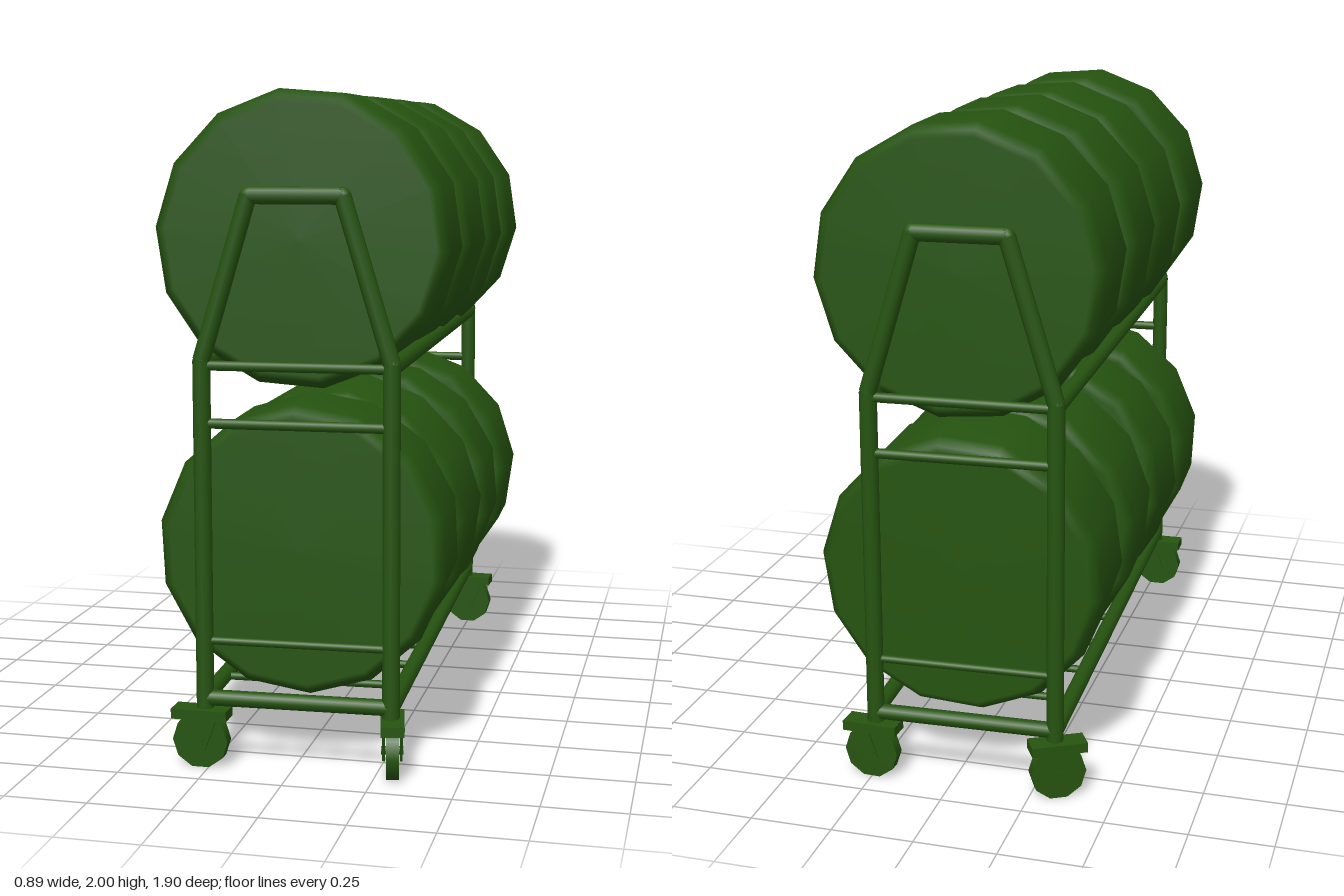
import * as THREE from 'three';

const green = new THREE.MeshStandardMaterial({ color: 0x265410 });

function add(parent, name, geometry) {
  const mesh = new THREE.Mesh(geometry, green);
  mesh.name = name;
  parent.add(mesh);
  return mesh;
}

// Round bar between two points
function bar(parent, name, a, b, r) {
  const p = new THREE.Vector3(...a), q = new THREE.Vector3(...b);
  const dir = q.clone().sub(p);
  const mesh = add(parent, name, new THREE.CylinderGeometry(r, r, dir.length(), 10));
  mesh.position.copy(p).add(q).multiplyScalar(0.5);
  mesh.quaternion.setFromUnitVectors(new THREE.Vector3(0, 1, 0), dir.normalize());
  return mesh;
}

// Swivel caster, rolling along its own z
function caster(parent, name, x, z, yaw) {
  const g = new THREE.Group();
  g.name = name;
  add(g, 'casterPlate', new THREE.BoxGeometry(0.07, 0.03, 0.17)).position.y = 0.165;
  const wheel = add(g, 'casterWheel', new THREE.CylinderGeometry(0.085, 0.085, 0.038, 10));
  wheel.rotation.z = Math.PI / 2;
  wheel.position.y = 0.083;
  for (const s of [-1, 1]) {
    const cheek = add(g, 'casterFork', new THREE.BoxGeometry(0.008, 0.11, 0.045));
    cheek.position.set(s * 0.026, 0.115, 0.015);
    cheek.rotation.x = 0.35;
  }
  const axle = add(g, 'casterAxle', new THREE.CylinderGeometry(0.013, 0.013, 0.066, 8));
  axle.rotation.z = Math.PI / 2;
  axle.position.y = 0.083;
  g.position.set(x, 0, z);
  g.rotation.y = yaw;
  parent.add(g);
}

export function createModel() {
  const model = new THREE.Group();
  model.name = 'wheelRack';

  // Frame, turned slightly
  const frame = new THREE.Group();
  frame.name = 'frame';
  frame.position.set(-0.012, 0, -0.006);
  frame.rotation.y = 0.031;
  model.add(frame);
  const X = 0.28, Z = 0.873, R = 0.026;

  for (const z of [Z, -Z]) {
    // Post, sloping arm, top bar: one bent hoop at each end
    const path = [
      [-X, 0.18, z], [-X, 1.22, z], [-0.137, 1.695, z],
      [0.137, 1.695, z], [X, 1.22, z], [X, 0.18, z],
    ];
    for (let i = 0; i < path.length - 1; i++) bar(frame, 'endHoop', path[i], path[i + 1], R);
    for (let i = 1; i < path.length - 1; i++) {
      add(frame, 'hoopElbow', new THREE.SphereGeometry(R, 10, 8)).position.set(...path[i]);
    }
    // End cross bars
    for (const [y, r] of [[0.21, 0.024], [0.385, 0.012], [1.035, 0.015], [1.205, 0.015]]) {
      bar(frame, 'endCrossBar', [-X, y, z], [X, y, z], r);
    }
  }

  // Long side rails
  for (const x of [-X, X]) {
    for (const y of [0.21, 1.21]) bar(frame, 'sideRail', [x, y, -Z], [x, y, Z], 0.025);
  }

  // Thin rods across the base
  for (let i = 1; i < 8; i++) {
    const z = -Z + (2 * Z * i) / 8;
    bar(frame, 'baseRod', [-X, 0.21, z], [X, 0.21, z], 0.012);
  }

  // Casters, each swivelled differently
  caster(model, 'frontRightCaster', -0.275, 0.882, Math.PI / 2);
  caster(model, 'frontLeftCaster', 0.3, 0.86, 0.2);
  caster(model, 'backRightCaster', -0.328, -0.875, Math.PI / 2 + 0.5);
  caster(model, 'backLeftCaster', 0.25, -0.892, Math.PI / 2 - 0.05);

  // Drums with bevelled rims, lathe axis laid along z
  const profile = [[0, -0.19], [0.4, -0.19], [0.418, -0.182], [0.438, -0.145],
    [0.438, 0.145], [0.418, 0.182], [0.4, 0.19], [0, 0.19]];
  const drum = new THREE.LatheGeometry(profile.map((p) => new THREE.Vector2(...p)), 14);
  drum.rotateX(Math.PI / 2);

  // Each entry: height, z, tilt, yaw, roll
  const drums = [
    [1.565, 0.615, 0, 0.05, 0.148],
    [1.565, 0.17, 0, 0, 0.148],
    [1.565, -0.235, 0, 0.05, 0.148],
    [1.565, -0.645, 0, 0.05, 0.148],
    [0.645, 0.62, 0, 0.05, 0.05],
    [0.645, 0.21, 0.06, 0, -0.14],
    [0.645, -0.22, -0.025, 0.045, 0.09],
    [0.645, -0.643, -0.02, 0.04, -0.14],
  ];
  drums.forEach(([y, z, tilt, yaw, roll], i) => {
    const mesh = add(model, i < 4 ? 'upperTyre' : 'lowerTyre', drum);
    mesh.position.set(0, y, z);
    mesh.rotation.set(tilt, yaw, roll);
  });

  return model;
}
